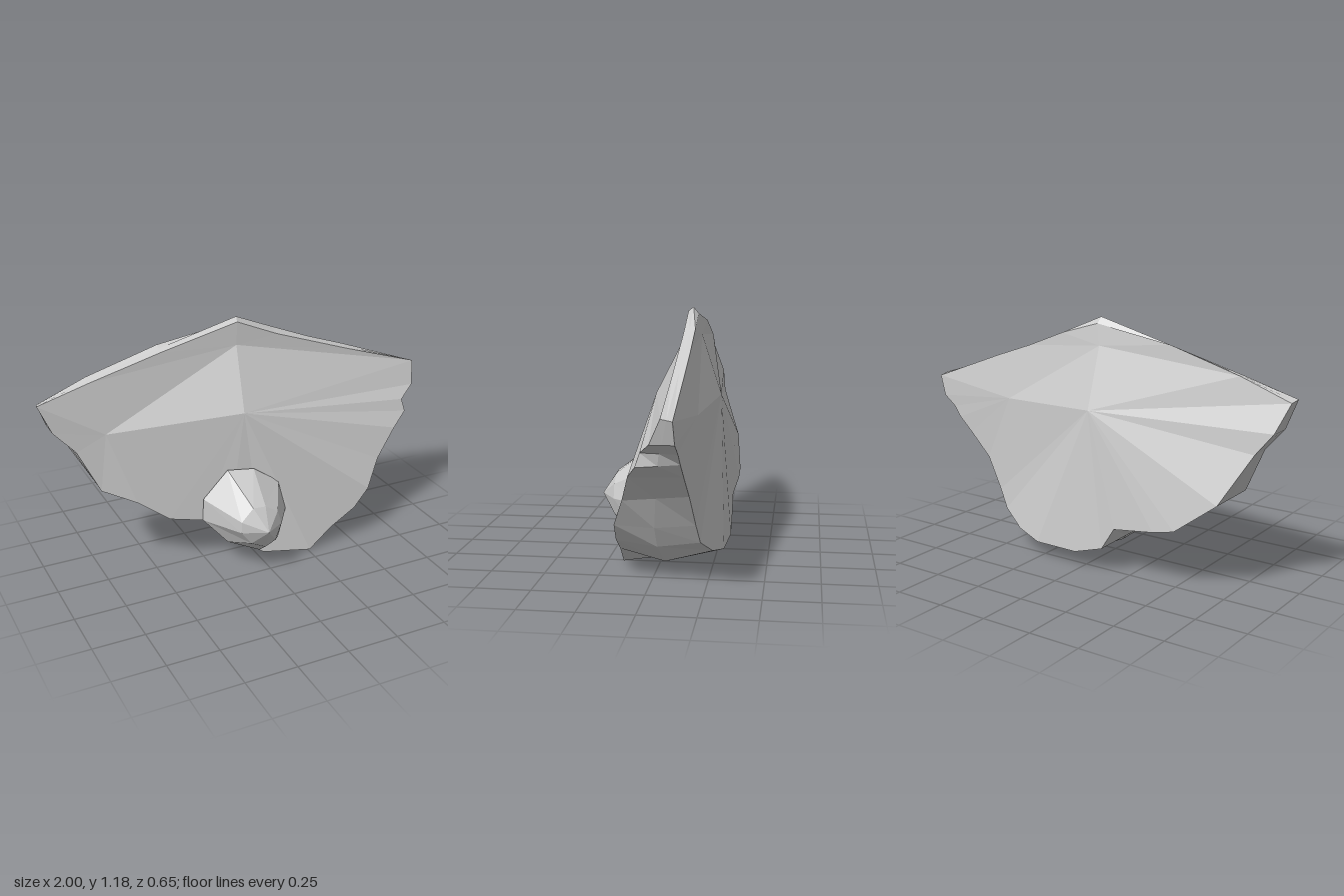
import * as THREE from 'three';

const material = new THREE.MeshStandardMaterial({ color: 0xcccccc, flatShading: true });

// Rim of the front face, counter-clockwise from the peak: x, y, z
const FRONT = [
  [-0.01, 1.17, -0.1], [-0.4, 1.08, -0.1], [-0.75, 0.99, -0.1], [-1, 0.92, -0.1], [-0.94, 0.78, -0.09],
  [-0.84, 0.67, -0.075], [-0.74, 0.46, -0.05], [-0.58, 0.38, -0.01], [-0.43, 0.27, 0.02], [-0.27, 0.24, 0.05],
  [-0.15, 0.15, 0.08], [0.03, 0.015, 0.11], [0.26, 0.005, 0.175], [0.38, 0.1, 0.17], [0.52, 0.18, 0.165],
  [0.6, 0.27, 0.16], [0.68, 0.4, 0.11], [0.8, 0.53, 0.065], [0.89, 0.59, 0.02], [0.88, 0.65, 0],
  [0.97, 0.7, -0.05], [1, 0.81, -0.1], [0.6, 0.94, -0.1], [0.4, 1.01, -0.1], [0.2, 1.08, -0.1],
];
// Rim of the back face, matching the front station by station
const BACK = [
  [0, 1.16, -0.15], [-0.4, 1.1, -0.155], [-0.75, 1.0, -0.155], [-0.99, 0.91, -0.145], [-0.94, 0.78, -0.2],
  [-0.86, 0.68, -0.215], [-0.73, 0.45, -0.3], [-0.53, 0.3, -0.325], [-0.42, 0.275, -0.325], [-0.2, 0.24, -0.31],
  [-0.13, 0.13, -0.31], [0.02, 0.085, -0.315], [0.26, 0.08, -0.3], [0.4, 0.11, -0.26], [0.52, 0.18, -0.215],
  [0.57, 0.27, -0.2], [0.66, 0.42, -0.18], [0.78, 0.53, -0.17], [0.86, 0.6, -0.165], [0.9, 0.65, -0.16],
  [0.97, 0.7, -0.155], [1, 0.8, -0.15], [0.6, 0.95, -0.155], [0.4, 1.02, -0.155], [0.2, 1.1, -0.155],
];
// Outward swell of the broken edge halfway between the rims, by station
const SWELL = { 0: 1.04, 13: 1.1, 14: 1.05, 15: 1.03 };

// Ridge points inside each face; each fans out to the rim stations from..to
const FRONT_HUBS = [
  { p: [-0.02, 1.06, -0.09], from: 21, to: 27 },
  { p: [-0.7, 0.74, -0.06], from: 2, to: 8 },
  { p: [-0.05, 0.77, 0.06], from: 8, to: 21 },
];
const BACK_HUBS = [
  { p: [-0.02, 1.06, -0.165], from: 23, to: 27 },
  { p: [-0.02, 0.77, -0.26], from: 2, to: 15 },
  { p: [0.5, 0.75, -0.2], from: 15, to: 23 },
];

function meshFromTriangles(name, triangles) {
  const geometry = new THREE.BufferGeometry();
  geometry.setAttribute('position', new THREE.Float32BufferAttribute(triangles.flat(2), 3));
  geometry.computeVertexNormals();
  const mesh = new THREE.Mesh(geometry, material);
  mesh.name = name;
  return mesh;
}

// Faceted cap: fans around the hubs, joined by bridging triangles
function cap(rim, hubs) {
  const at = (i) => rim[i % rim.length];
  const triangles = [hubs.map((h) => h.p)];
  hubs.forEach((hub, k) => {
    for (let i = hub.from; i < hub.to; i++) triangles.push([hub.p, at(i), at(i + 1)]);
    triangles.push([hub.p, at(hub.to), hubs[(k + 1) % hubs.length].p]);
  });
  return triangles;
}

// Band of triangles from one closed ring to the next
function band(a, b) {
  return a.flatMap((p, i) => {
    const j = (i + 1) % a.length;
    return [[p, b[i], a[j]], [a[j], b[i], b[j]]];
  });
}

const flip = (triangles) => triangles.map(([a, b, c]) => [a, c, b]);

function slab() {
  const middle = FRONT.map((f, i) => {
    const b = BACK[i];
    const s = SWELL[i] ?? 1;
    return [((f[0] + b[0]) / 2) * s, 0.55 + ((f[1] + b[1]) / 2 - 0.55) * s, (f[2] + b[2]) / 2];
  });
  const group = new THREE.Group();
  group.name = 'rockSlab';
  group.add(
    meshFromTriangles('frontFace', cap(FRONT, FRONT_HUBS)),
    meshFromTriangles('backFace', flip(cap(BACK, BACK_HUBS))),
    meshFromTriangles('brokenEdge', [...band(FRONT, middle), ...band(middle, BACK)]),
  );
  return group;
}

// Blunt knob standing out of the lower front
function knob() {
  const base = [
    [-0.02, 0.49, 0.1], [-0.15, 0.5, 0.08], [-0.27, 0.36, 0.06], [-0.27, 0.24, 0.05], [-0.17, 0.13, 0.12],
    [-0.02, 0.07, 0.165], [0.09, 0.11, 0.15], [0.155, 0.25, 0.11], [0.11, 0.4, 0.11],
  ];
  const tip = [-0.05, 0.26, 0.33];
  const root = [-0.05, 0.27, 0];
  const shoulder = base.map(([x, y]) => [
    tip[0] + (x - tip[0]) * 0.5,
    tip[1] + (y - tip[1]) * (y > tip[1] ? 0.45 : 0.62),
    0.26,
  ]);
  const fan = (centre, ring) => ring.map((p, i) => [centre, p, ring[(i + 1) % ring.length]]);
  return meshFromTriangles('knob', [
    ...fan(tip, shoulder),
    ...band(shoulder, base),
    ...flip(fan(root, base)),
  ]);
}

export function createModel() {
  const model = new THREE.Group();
  model.name = 'rockShard';
  model.add(slab(), knob());
  return model;
}
